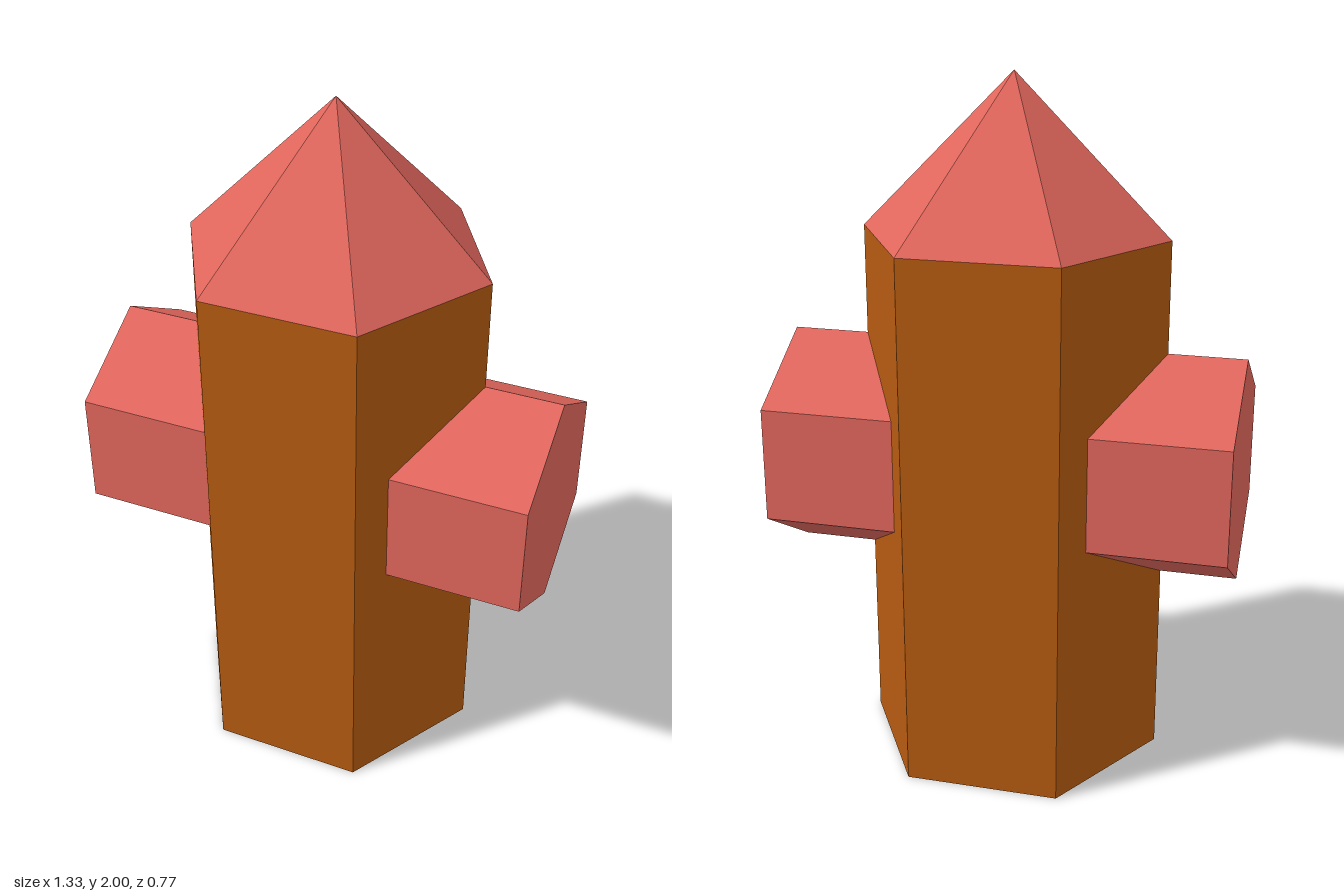
import * as THREE from 'three';

const SIDES = 6;
const TURN = Math.PI / 6; // puts hexagon corners on the x axis

export function createModel() {
  const group = new THREE.Group();
  const brown = new THREE.MeshStandardMaterial({ color: 0xb45a10, flatShading: true, side: THREE.DoubleSide });
  brown.name = 'brown';
  const coral = new THREE.MeshStandardMaterial({ color: 0xe0665c, flatShading: true, side: THREE.DoubleSide });
  coral.name = 'coral';

  const add = (name, geometry, material, y) => {
    const mesh = new THREE.Mesh(geometry, material);
    mesh.name = name;
    mesh.position.y = y;
    group.add(mesh);
  };

  // Hexagonal body, open underneath
  const bodyHeight = 1.556, radius = 0.444;
  add('body', new THREE.CylinderGeometry(radius, radius, bodyHeight, SIDES, 1, true, TURN), brown, bodyHeight / 2);

  // Pyramid cap
  const capHeight = 2 - bodyHeight;
  add('cap', new THREE.ConeGeometry(radius, capHeight, SIDES, 1, true, TURN), coral, bodyHeight + capHeight / 2);

  // Hexagonal bar running through the body, forming both side outlets
  const bar = new THREE.CylinderGeometry(0.333, 0.333, 1.333, SIDES, 1, false, TURN).rotateZ(Math.PI / 2);
  add('sideOutlets', bar, coral, 0.903);

  return group;
}
